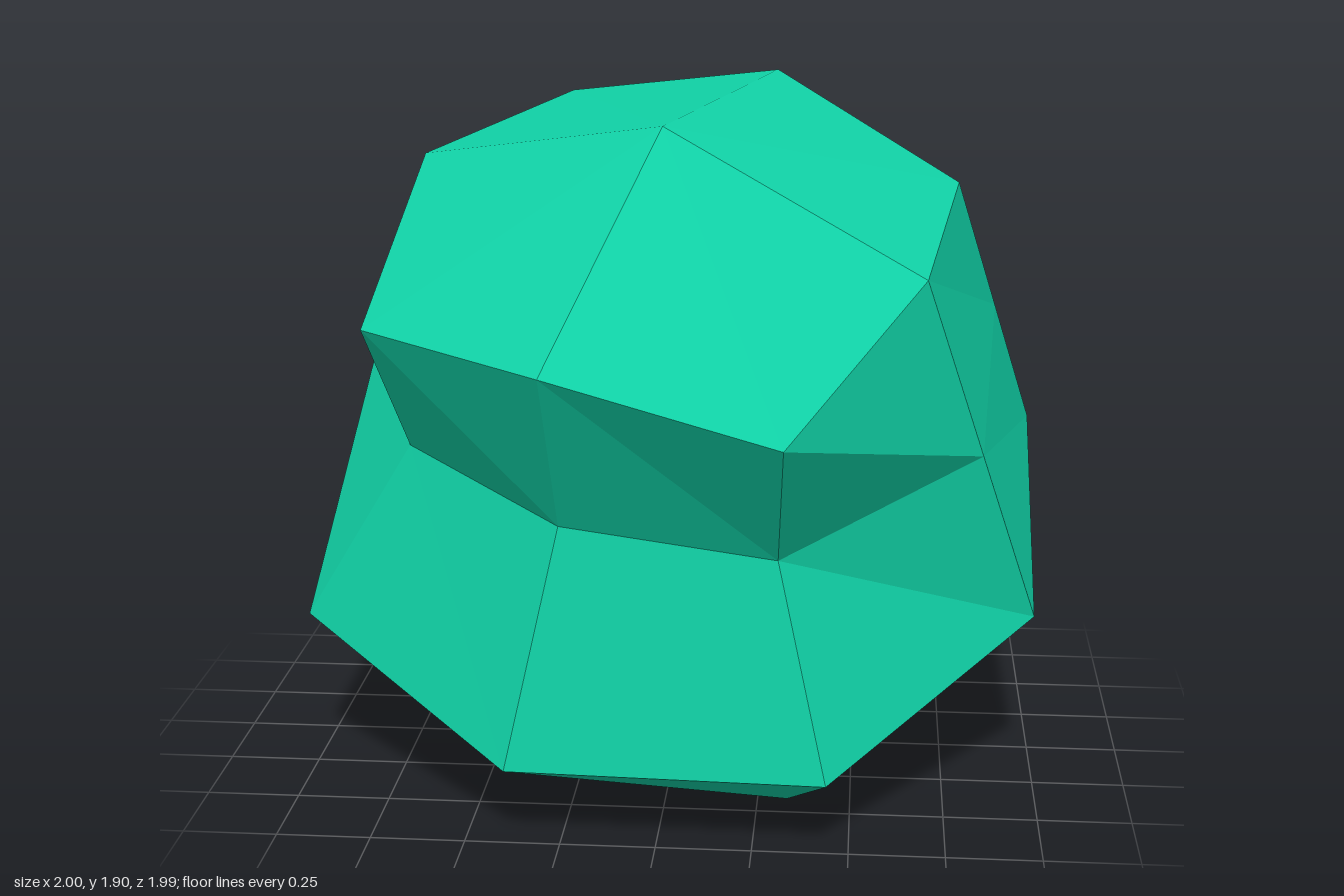
import * as THREE from 'three';

export function createModel() {
  const model = new THREE.Group();
  model.name = 'facetedStone';
  const green = new THREE.MeshStandardMaterial({ color: 0x10d0a5, flatShading: true });
  green.name = 'emerald green';

  const V = (x, y, z) => new THREE.Vector3(x, y, z);
  const N = 8;

  // Cross-section rings, counterclockwise from the front right corner
  const shoulder = [
    V(0.33, 1.15, 0.99), V(0.67, 1.49, 0.6), V(0.76, 1.64, 0.01), V(0.26, 1.91, -0.23),
    V(-0.33, 1.83, -0.37), V(-0.67, 1.72, 0.13), V(-0.76, 1.34, 0.61), V(-0.26, 1.31, 0.97),
  ];
  const girdle = [
    V(0.44, 0.21, 0.79), V(0.99, 0.49, 0.24), V(1, 0.86, -0.5), V(0.38, 1.11, -0.99),
    V(-0.44, 1.11, -1), V(-1, 0.83, -0.45), V(-1, 0.46, 0.29), V(-0.39, 0.22, 0.78),
  ];

  // The waist lies midway, with three front corners pushed in as a notch
  const waist = shoulder.map((p, i) => p.clone().lerp(girdle[i], 0.5));
  waist[0] = V(0.31, 0.79, 0.72);
  waist[6] = V(-0.69, 0.97, 0.36);
  waist[7] = V(-0.25, 0.86, 0.7);

  // The flat underside is the shoulder ring projected onto a sloping plane
  const axis = V(0, 0.893, 0.451);
  const foot = shoulder.map((p) => {
    const t = (p.y + 0.504 * p.z - 0.217) / 1.12;
    return p.clone().addScaledVector(axis, -t);
  });

  function addPart(name, triangles) {
    const geometry = new THREE.BufferGeometry().setFromPoints(triangles);
    geometry.computeVertexNormals();
    const mesh = new THREE.Mesh(geometry, green);
    mesh.name = name;
    model.add(mesh);
  }

  // Quads between two rings, facing outward
  function band(lower, upper) {
    const triangles = [];
    for (let i = 0; i < N; i++) {
      const j = (i + 1) % N;
      triangles.push(lower[i], lower[j], upper[i], lower[j], upper[j], upper[i]);
    }
    return triangles;
  }

  addPart('lowerBevel', band(foot, girdle));
  addPart('lowerSides', band(girdle, waist));
  addPart('upperSides', band(waist, shoulder));

  // Four large facets meeting at the peak
  const peak = V(0, 1.85, 0.49);
  const crown = [];
  for (let i = 1; i < N; i += 2) {
    const a = shoulder[i], b = shoulder[(i + 1) % N], c = shoulder[(i + 2) % N];
    crown.push(peak, a, b, peak, b, c);
  }
  addPart('crown', crown);

  // Flat underside
  const base = [];
  for (let i = 1; i < N - 1; i++) base.push(foot[0], foot[i + 1], foot[i]);
  addPart('underside', base);

  return model;
}
